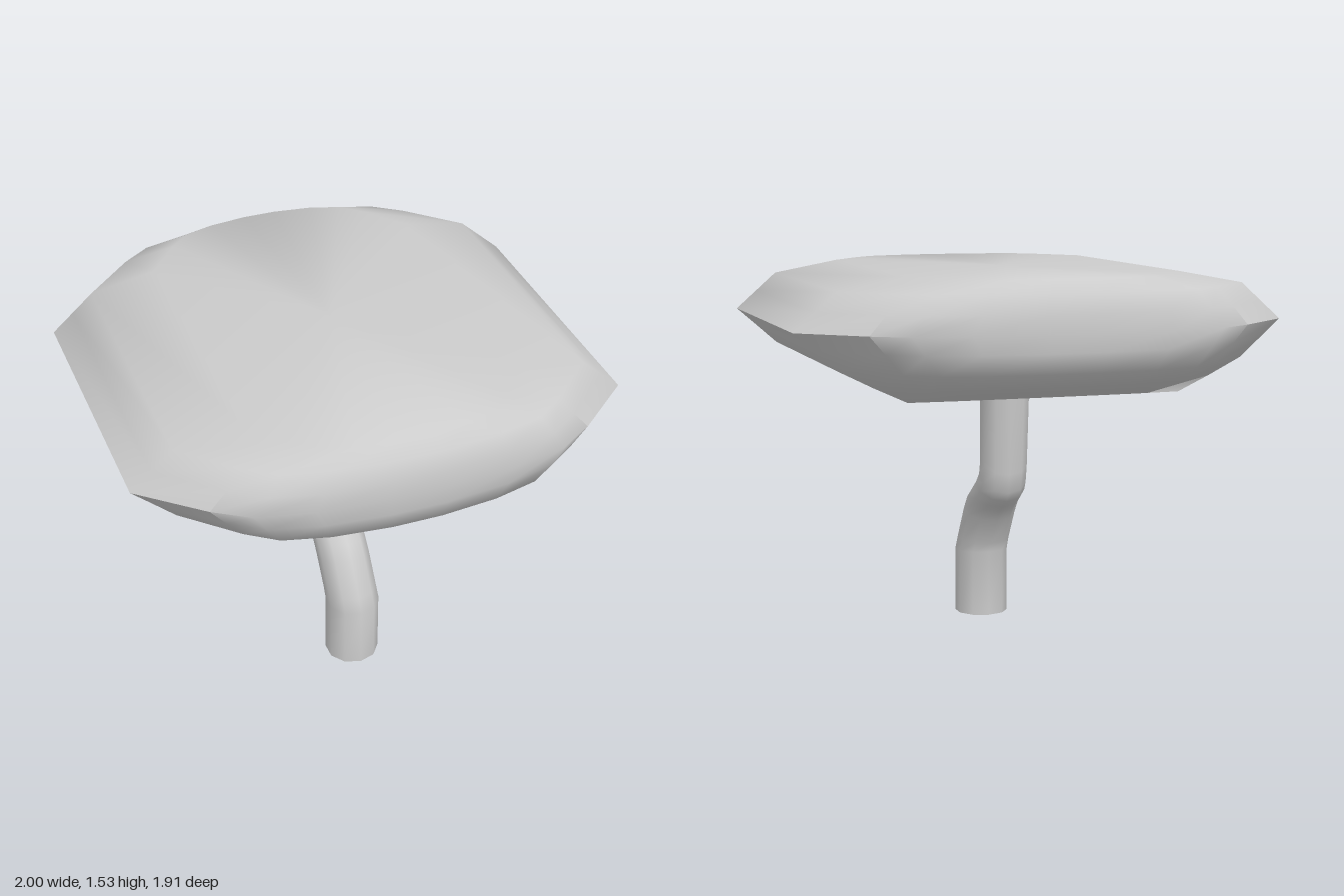
import * as THREE from 'three';
import { toCreasedNormals } from 'three/addons/utils/BufferGeometryUtils.js';

// Skin a stack of rings (bottom to top, counter-clockwise from above), closed by fans
function loft(rings, bottom, top, crease) {
  const n = rings[0].length, last = (rings.length - 1) * n;
  const pts = [...rings.flat(), bottom, top];
  const index = [];
  for (let i = 0; i < n; i++) {
    const j = (i + 1) % n;
    for (let r = 0; r < last; r += n) {
      index.push(r + i, r + j, r + n + j, r + i, r + n + j, r + n + i);
    }
    index.push(last + n, j, i, last + n + 1, last + i, last + j);
  }
  const geo = new THREE.BufferGeometry();
  geo.setAttribute('position', new THREE.Float32BufferAttribute(pts.flat(), 3));
  geo.setIndex(index);
  return toCreasedNormals(geo, crease);
}

// Canopy: one quarter outline, scaled in x and pulled in at the ends per level
function canopyGeometry() {
  const quarter = [[1, 0.58], [0.76, 0.79], [0.62, 0.88], [0.4, 0.93], [0.12, 0.955]];
  // height, x scale, end bulge
  const levels = [
    [1.05, 0.56, 0.04], [1.11, 0.69, 0.58], [1.18, 0.83, 0.93], [1.26, 0.92, 1],
    [1.33, 1, 1], [1.405, 0.915, 1], [1.48, 0.83, 0.93], [1.53, 0.56, 0.8],
  ];
  const rings = levels.map(([y, sx, bulge]) => {
    const q = quarter.map(([x, z]) => [x * sx, 0.58 + (z - 0.58) * bulge]);
    const back = [...q].reverse();
    return [
      ...q.map(([x, z]) => [x, y, -z]), ...back.map(([x, z]) => [-x, y, -z]),
      ...q.map(([x, z]) => [-x, y, z]), ...back.map(([x, z]) => [x, y, z]),
    ];
  });
  return loft(rings, [0, 1.035, 0], [0, 1.53, 0], 0.9);
}

// Trunk: each ring spans a front edge point and a back edge point of the S-bend
function trunkGeometry() {
  const sides = 10;
  // front z, front y, back z, back y, centre x, half width
  const spans = [
    [0.377, 0, 0.153, 0, 0, 0.113],
    [0.377, 0.27, 0.153, 0.28, 0, 0.113],
    [0.36, 0.34, 0.14, 0.32, -0.005, 0.111],
    [0.29, 0.49, 0.08, 0.43, -0.012, 0.11],
    [0.25, 0.55, 0.04, 0.48, -0.014, 0.109],
    [0.2, 0.59, 0, 0.505, -0.014, 0.107],
    [0.12, 0.65, -0.06, 0.54, -0.012, 0.104],
    [0.08, 0.69, -0.09, 0.58, -0.01, 0.1],
    [0.06, 0.74, -0.1, 0.66, -0.01, 0.1],
    [0.07, 1.1, -0.122, 1.1, -0.014, 0.105],
  ];
  const rings = spans.map(([fz, fy, bz, by, cx, w]) =>
    Array.from({ length: sides }, (_, i) => {
      const a = (i / sides) * Math.PI * 2, t = (1 + Math.cos(a)) / 2;
      return [cx + Math.sin(a) * w, by + (fy - by) * t, bz + (fz - bz) * t];
    }));
  return loft(rings, [0, 0, 0.265], [-0.014, 1.1, -0.026], 0.9);
}

export function createModel() {
  const model = new THREE.Group();
  model.name = 'tree';
  const material = new THREE.MeshStandardMaterial({ color: 0xcccccc });
  const parts = { canopy: canopyGeometry(), trunk: trunkGeometry() };
  for (const [name, geometry] of Object.entries(parts)) {
    const mesh = new THREE.Mesh(geometry, material);
    mesh.name = name;
    model.add(mesh);
  }
  return model;
}
